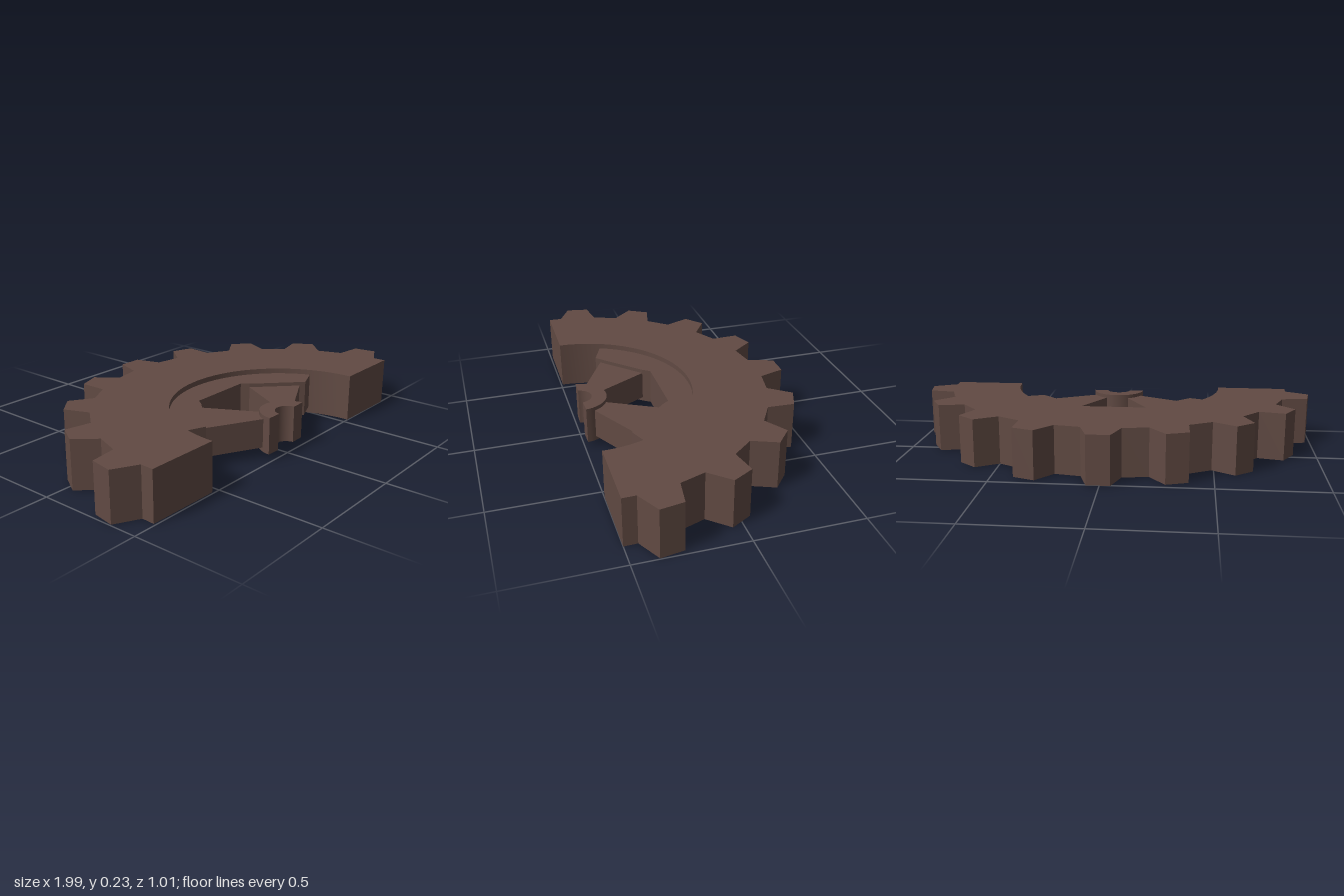
import * as THREE from 'three';
import { toCreasedNormals } from 'three/addons/utils/BufferGeometryUtils.js';

const AXIS_Z = 0.495; // gear axis lies near the front edge
const rad = THREE.MathUtils.degToRad;

const polar = (r, deg) => new THREE.Vector2(r * Math.cos(rad(deg)), r * Math.sin(rad(deg)));

// Points along an arc about the gear axis
function arc(r, from, to, steps) {
  return Array.from({ length: steps + 1 }, (_, i) => polar(r, from + (to - from) * i / steps));
}

export function createModel() {
  const gear = new THREE.Group();
  gear.name = 'halfGear';
  const brown = new THREE.MeshStandardMaterial({ color: 0x614a43 });
  brown.name = 'brown';

  // Plan outline raised between two heights
  function slab(name, points, bottom, top) {
    const geo = new THREE.ExtrudeGeometry(new THREE.Shape(points), { depth: top - bottom, bevelEnabled: false });
    geo.rotateX(-Math.PI / 2);
    geo.translate(0, bottom, AXIS_Z);
    const mesh = new THREE.Mesh(toCreasedNormals(geo, 0.15), brown);
    mesh.name = name;
    gear.add(mesh);
  }

  // Toothed half rim, turned very slightly about the axis
  const tilt = -0.35;
  const rim = [polar(0.885, tilt)];
  for (let i = 0; i < 9; i++) {
    const a = 10 + 20 * i + tilt;
    rim.push(polar(0.885, a - 6), polar(1.002, a - 3.1), polar(1.002, a + 3.1), polar(0.885, a + 6));
  }
  rim.push(polar(0.885, 180 + tilt), ...arc(0.535, 180 + tilt, tilt, 40));
  slab('toothedRim', rim, 0, 0.23);

  // Recessed web inside the rim
  const inner = [[-0.385, 0.16], [-0.185, 0.355], [-0.16, 0.39], [0.16, 0.39], [0.185, 0.355], [0.385, 0.16]];
  slab('web', [...arc(0.537, 22.5, 157.5, 36), ...inner.map(p => new THREE.Vector2(...p))], 0.03, 0.205);

  // Tapered spokes, thinner than the web
  const spoke = [[0.365, 0.18], [0.185, 0.355], [0.05, 0.105], [0.1, 0.04]];
  for (const side of [1, -1]) {
    slab(side > 0 ? 'leftSpoke' : 'rightSpoke', spoke.map(([x, y]) => new THREE.Vector2(side * x, y)), 0.05, 0.187);
  }

  // Half-round hub
  slab('hub', [...arc(0.13, 4, 176, 24), ...arc(0.06, 173, 7, 24)], 0.03, 0.205);

  return gear;
}
